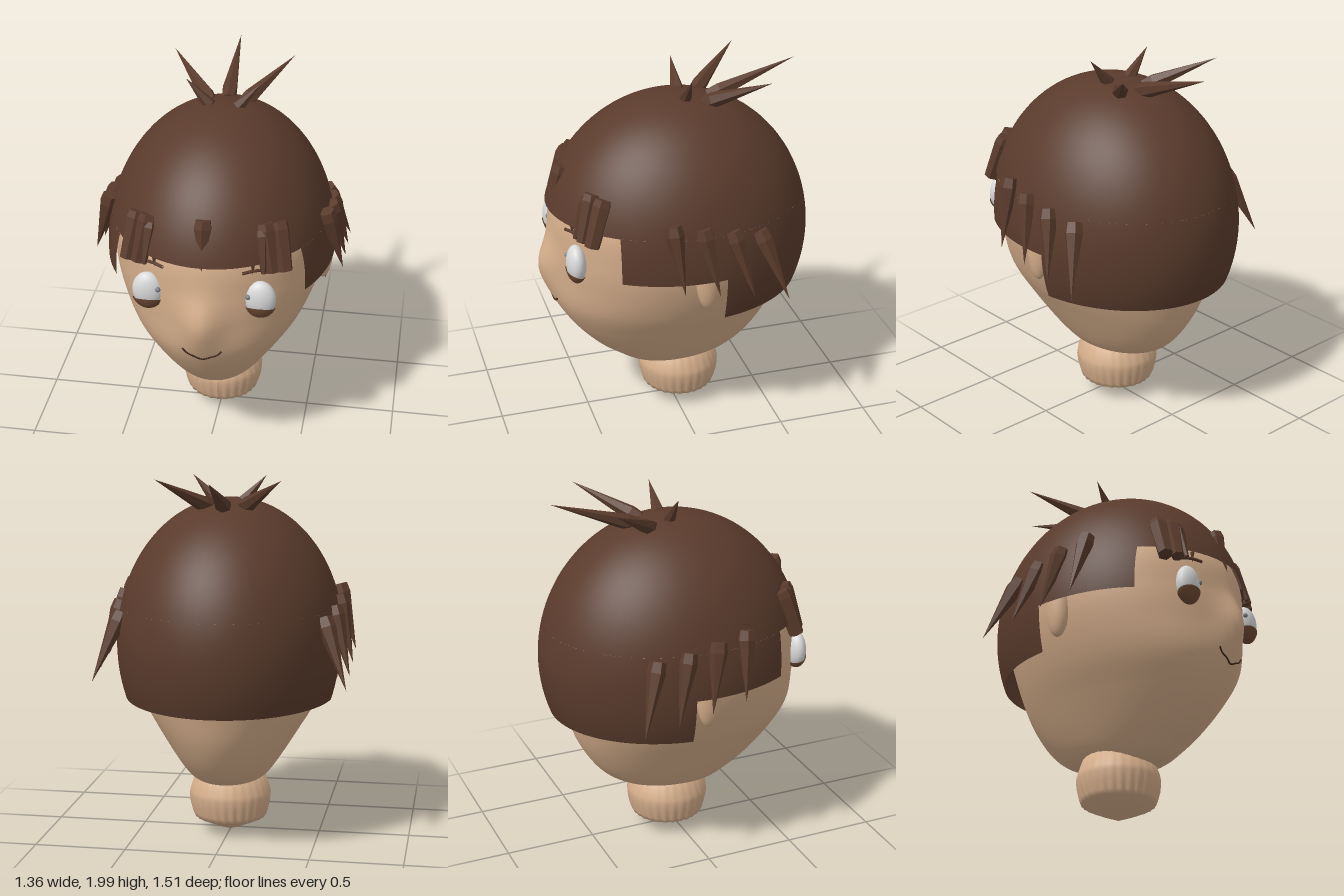
import * as THREE from 'three';
import { ParametricGeometry } from 'three/addons/geometries/ParametricGeometry.js';

const mat = (name, color, side = THREE.FrontSide) => {
  const m = new THREE.MeshStandardMaterial({ color, side });
  m.name = name;
  return m;
};

// Head rings: [height, half width, front z, back z]
const RINGS = [
  [0.285, 0.01, 0.13, 0.11], [0.295, 0.11, 0.22, -0.06], [0.32, 0.172, 0.28, -0.24],
  [0.36, 0.22, 0.34, -0.36], [0.45, 0.285, 0.457, -0.465], [0.6, 0.38, 0.587, -0.56],
  [0.76, 0.475, 0.67, -0.617], [0.94, 0.545, 0.68, -0.663], [1.1, 0.575, 0.682, -0.69],
  [1.3, 0.575, 0.665, -0.69], [1.5, 0.5, 0.56, -0.6], [1.7, 0.35, 0.39, -0.42],
  [1.8, 0.2, 0.22, -0.23], [1.83, 0.01, 0.01, -0.01],
];
const curve = (f) => new THREE.CatmullRomCurve3(RINGS.map(f), false, 'catmullrom', 0.5);
const outline = curve(([y, a]) => new THREE.Vector3(a, y, 0));
const depths = curve(([, , f, b]) => new THREE.Vector3(f, b, 0));

// Point on the head at angle th (0 = front) and ring parameter t, with the nose raised
function headPoint(th, t, target = new THREE.Vector3()) {
  const o = outline.getPoint(t), d = depths.getPoint(t);
  const x = o.x * Math.sin(th);
  let z = (d.x + d.y) / 2 + ((d.x - d.y) / 2) * Math.cos(th);
  if (Math.cos(th) > 0) z += 0.07 * Math.exp(-((x / 0.11) ** 2) - ((o.y - 0.95) / 0.15) ** 2);
  return target.set(x, o.y, z);
}

// Point on the face at a given x and y
function facePoint(x, y, lift) {
  let lo = 0, hi = 1;
  for (let i = 0; i < 30; i++) {
    const m = (lo + hi) / 2;
    if (outline.getPoint(m).y < y) lo = m; else hi = m;
  }
  const p = headPoint(Math.asin(x / outline.getPoint(lo).x), lo);
  p.z += lift;
  return p;
}

// The hair is an ellipsoid: phi is the latitude, th the angle from the front
const HAIR = { x: 0.62, y: 0.785, z: 0.737, cy: 1.09, cz: -0.018 };
const latitude = (y) => Math.asin((y - HAIR.cy) / HAIR.y);
const hairPoint = (th, phi, target) => target.set(
  HAIR.x * Math.cos(phi) * Math.sin(th),
  HAIR.cy + HAIR.y * Math.sin(phi),
  HAIR.cz + HAIR.z * Math.cos(phi) * Math.cos(th));
const cutAngle = (z, phi) => Math.acos((z - HAIR.cz) / (HAIR.z * Math.cos(phi)));

// Six-sided spike or blunt strand along +y
function spikeGeometry(length, radius, blunt) {
  const profile = [[0, 0], [0.85, 0], [1, 0.14], [blunt, 1], [0, 1]];
  const g = new THREE.LatheGeometry(profile.map(([r, h]) => new THREE.Vector2(r * radius, h * length)), 6).toNonIndexed();
  g.computeVertexNormals();
  return g;
}

export function createModel() {
  const model = new THREE.Group();
  const skin = mat('skin', 0xd5ae8b);
  const hair = mat('brown hair', 0x5a3b2c, THREE.DoubleSide);
  const white = mat('eye white', 0xd9d9d9);
  const lidBrown = mat('eyelid brown', 0x6f4a33, THREE.DoubleSide);
  const grey = mat('pupil grey', 0x7c8288);
  const dark = mat('dark brown', 0x3d2618);

  const add = (name, geometry, material, x = 0, y = 0, z = 0) => {
    const m = new THREE.Mesh(geometry, material);
    m.name = name;
    m.position.set(x, y, z);
    model.add(m);
    return m;
  };
  const spike = (name, from, to, radius, blunt = 0) => {
    const a = new THREE.Vector3(...from), dir = new THREE.Vector3(...to).sub(a);
    const m = add(name, spikeGeometry(dir.length(), radius, blunt), hair, a.x, a.y, a.z);
    m.quaternion.setFromUnitVectors(new THREE.Vector3(0, 1, 0), dir.normalize());
  };

  // Head with nose
  add('head', new ParametricGeometry((u, v, p) => headPoint(u * Math.PI * 2, v, p), 96, 78), skin);

  // Fluted neck
  const neckProfile = [[0, 0.008], [0.1, 0.05], [0.195, 0.095], [0.205, 0.12], [0.218, 0.17], [0.227, 0.22], [0.222, 0.25], [0.19, 0.35], [0.1, 0.37]];
  const neck = new THREE.LatheGeometry(neckProfile.map(([r, y]) => new THREE.Vector2(r, y)), 112);
  const np = neck.attributes.position;
  for (let i = 0; i < np.count; i++) {
    const x = np.getX(i), z = np.getZ(i);
    const k = 1 + (np.getY(i) < 0.2 ? 0.02 : 0.006) * Math.cos(28 * Math.atan2(x, z));
    np.setX(i, x * k);
    np.setZ(i, z * k);
  }
  neck.computeVertexNormals();
  add('neck', neck, skin, 0, 0, -0.04);

  // Hair crown, then side and back curtains with stepped hems
  const hairBand = (name, phi0, phi1, range, rows) => {
    add(name, new ParametricGeometry((u, v, p) => {
      const phi = phi0 + (phi1 - phi0) * v, [a, b] = range(phi);
      return hairPoint(a + (b - a) * u, phi, p);
    }, 64, rows), hair);
  };
  const fringe = latitude(1.3);
  hairBand('hairCrown', fringe, 1.5707, () => [0, Math.PI * 2], 28);
  hairBand('backHair', latitude(0.797), fringe, (phi) => {
    const a = cutAngle(-0.13, phi);
    return [a, 2 * Math.PI - a];
  }, 12);

  // Middle spikes of the tuft and the fringe
  spike('tuftMiddle', [0, 1.83, -0.2], [0, 2, -0.685], 0.043);
  spike('fringeMiddle', [0, 1.53, 0.597], [0, 1.235, 0.675], 0.05);

  for (const s of [1, -1]) {
    const side = s > 0 ? 'left' : 'right';
    hairBand(side + 'SideHair', latitude(1.05), fringe, (phi) => {
      const a = cutAngle(0.41, phi), b = cutAngle(-0.13, phi);
      return s > 0 ? [a, b] : [2 * Math.PI - b, 2 * Math.PI - a];
    }, 8);

    // Tuft on top
    spike(side + 'TuftLong', [s * 0.085, 1.83, -0.155], [s * 0.33, 2, -0.445], 0.043);
    spike(side + 'TuftShort', [s * 0.06, 1.84, -0.055], [s * 0.2, 2, -0.055], 0.036);

    // Spikes over the ears
    for (let i = 0; i < 4; i++) {
      spike(side + 'EarSpike' + (i + 1), [s * [0.58, 0.59, 0.58, 0.545][i], 1.39 - 0.037 * i, 0.16 - 0.16 * i],
        [s * 0.68, 1.03 - 0.037 * i, 0.12 - 0.19 * i], 0.05);
    }

    // Fringe strands
    spike(side + 'StrandOuter', [s * 0.365, 1.48, 0.465], [s * 0.412, 1.24, 0.545], 0.052, 0.8);
    spike(side + 'StrandMiddle', [s * 0.3, 1.49, 0.51], [s * 0.35, 1.245, 0.58], 0.05, 0.7);
    spike(side + 'StrandInner', [s * 0.285, 1.46, 0.53], [s * 0.31, 1.25, 0.61], 0.04, 0.3);

    // Ears
    add(side + 'Ear', new THREE.SphereGeometry(1, 28, 20), skin, s * 0.56, 1.05, -0.04).scale.set(0.053, 0.185, 0.068);

    // Eyes with lower lids tipped to the front, and small pupils
    add(side + 'Eye', new THREE.SphereGeometry(1, 32, 24), white, s * 0.294, 1.095, 0.604).scale.set(0.082, 0.104, 0.053);
    const lid = new THREE.SphereGeometry(1, 32, 12, 0, Math.PI * 2, Math.PI - 1.1, 1.1).rotateX(-0.2);
    add(side + 'LowerLid', lid, lidBrown, s * 0.294, 1.095, 0.604).scale.set(0.09, 0.11, 0.058);
    add(side + 'Pupil', new THREE.SphereGeometry(0.014, 16, 12), grey, s * 0.235, 1.12, 0.639);

    // Eyebrows with a short upright hair
    const brow = new THREE.CatmullRomCurve3([[0.205, 1.258], [0.26, 1.262], [0.315, 1.252]]
      .map(([x, y]) => facePoint(s * x, y, 0.008)));
    add(side + 'Eyebrow', new THREE.TubeGeometry(brow, 12, 0.009, 6), hair);
    const tuft = facePoint(s * 0.255, 1.27, 0.008);
    add(side + 'BrowHair', new THREE.ConeGeometry(0.012, 0.06, 6), hair, tuft.x, tuft.y, tuft.z).rotation.x = Math.PI;
  }

  // Smiling mouth
  const smile = [[-0.105, 0.795], [-0.085, 0.77], [-0.045, 0.752], [0, 0.733], [0.045, 0.752], [0.085, 0.77], [0.105, 0.795]];
  add('mouth', new THREE.TubeGeometry(new THREE.CatmullRomCurve3(smile.map(([x, y]) => facePoint(x, y, 0.002))), 32, 0.005, 6), dark);

  return model;
}
